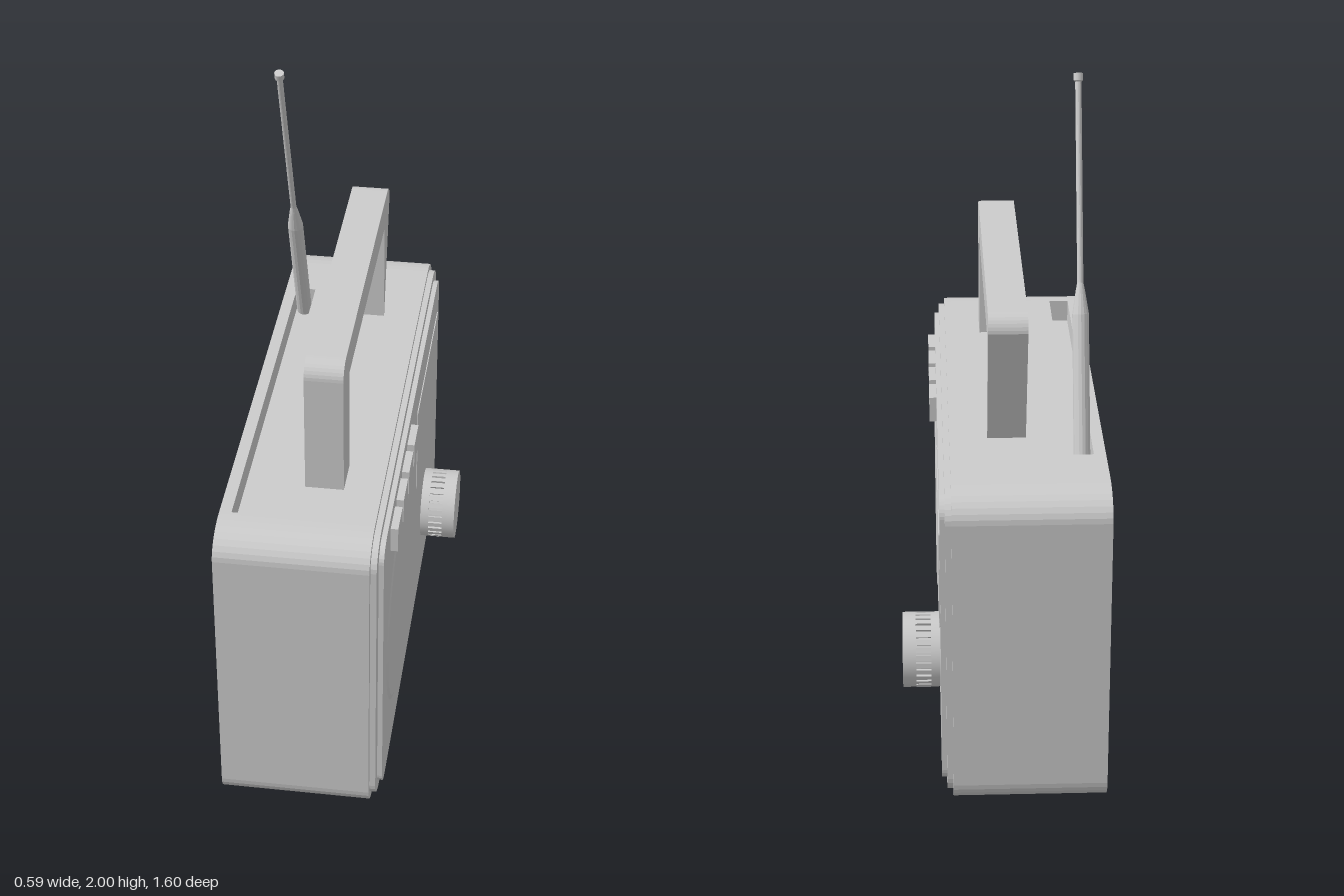
import * as THREE from 'three';

const mat = new THREE.MeshStandardMaterial({ color: 0xcccccc, flatShading: true });
const smooth = new THREE.MeshStandardMaterial({ color: 0xcccccc });

export function createModel() {
  const group = new THREE.Group();
  const add = (name, geo, material = mat) => {
    const mesh = new THREE.Mesh(geo, material);
    mesh.name = name;
    group.add(mesh);
    return mesh;
  };

  // Profiles are drawn as (u, y) with u = -z, then extruded along x.
  const slab = (shape, x0, x1, curveSegments = 4) => {
    const geo = new THREE.ExtrudeGeometry(shape, { depth: x1 - x0, bevelEnabled: false, curveSegments });
    return geo.rotateY(Math.PI / 2).translate(x0, 0, 0);
  };

  // Rectangle with elliptical corners; an optional notch is cut in its top edge.
  const rounded = (u0, u1, y0, y1, ru, ry, notch) => {
    const s = new THREE.Shape();
    const P = Math.PI;
    s.absellipse(u0 + ru, y0 + ry, ru, ry, P, 1.5 * P);
    s.absellipse(u1 - ru, y0 + ry, ru, ry, 1.5 * P, 2 * P);
    s.absellipse(u1 - ru, y1 - ry, ru, ry, 0, 0.5 * P);
    if (notch) {
      s.lineTo(notch.u1, y1);
      s.lineTo(notch.u1, notch.y);
      s.lineTo(notch.u0, notch.y);
      s.lineTo(notch.u0, y1);
    }
    s.absellipse(u0 + ru, y1 - ry, ru, ry, 0.5 * P, P);
    s.closePath();
    return s;
  };

  // Case in three slices, the middle one holding the antenna slot
  const slot = { u0: -0.67, u1: 0.52, y: 0.93 };
  add('caseBack', slab(rounded(-0.8, 0.8, 0, 1, 0.12, 0.08), -0.295, -0.26));
  add('caseSlot', slab(rounded(-0.8, 0.8, 0, 1, 0.12, 0.08, slot), -0.26, -0.2));
  add('caseFront', slab(rounded(-0.8, 0.8, 0, 1, 0.12, 0.08), -0.2, 0.15));

  // Stepped front panel
  add('frontRim', slab(rounded(-0.78, 0.78, 0.015, 0.985, 0.11, 0.075), 0.15, 0.168));
  add('frontPanel', slab(rounded(-0.737, 0.737, 0.042, 0.958, 0.07, 0.05), 0.168, 0.183));

  // Faintly raised display and speaker disc
  add('display', slab(rounded(-0 + 0.1, 0.69, 0.54, 0.84, 0.005, 0.005), 0.18, 0.186));
  add('speaker', new THREE.CylinderGeometry(0.3, 0.322, 0.006, 48)
    .rotateZ(-Math.PI / 2).translate(0.184, 0.465, 0.34));

  // Button row
  for (let i = 0; i < 4; i++) {
    add('button' + (i + 1), new THREE.BoxGeometry(0.03, 0.08, 0.105)
      .translate(0.19, 0.88, 0.532 - i * 0.136));
  }

  // Tuning knob with a notched band
  const knobY = 0.285, knobZ = -0.37, R = 0.113;
  const knobDisc = (name, x0, x1) => add(name,
    new THREE.CylinderGeometry(R, R, x1 - x0, 40).rotateZ(-Math.PI / 2)
      .translate((x0 + x1) / 2, knobY, knobZ), smooth);
  knobDisc('knobBase', 0.18, 0.21);
  knobDisc('knobCap', 0.255, 0.295);
  const gear = new THREE.Shape();
  const teeth = 30;
  for (let i = 0; i < teeth; i++) {
    [[0, R], [0.65, R], [0.65, R - 0.008], [1, R - 0.008]].forEach(([f, r], k) => {
      const a = (i + f) / teeth * Math.PI * 2;
      const p = [Math.cos(a) * r, Math.sin(a) * r];
      if (i + k === 0) gear.moveTo(...p); else gear.lineTo(...p);
    });
  }
  add('knobGrip', slab(gear, 0.21, 0.255).translate(0, knobY, knobZ));

  // Carrying handle
  const h = new THREE.Shape();
  h.moveTo(0.515, 0.98);
  h.absellipse(0.46, 1.37, 0.055, 0.05, 0, Math.PI / 2);
  h.absellipse(-0.47, 1.37, 0.055, 0.05, Math.PI / 2, Math.PI);
  h.lineTo(-0.525, 0.98);
  h.lineTo(-0.405, 0.98);
  h.lineTo(-0.405, 1.325);
  h.lineTo(0.395, 1.325);
  h.lineTo(0.395, 0.98);
  h.closePath();
  add('handle', slab(h, -0.072, 0.04));

  // Telescopic antenna leaning out of the slot
  const foot = new THREE.Vector3(-0.23, 0.95, -0.478);
  const tip = new THREE.Vector3(-0.23, 1.996, -0.092);
  const L = foot.distanceTo(tip);
  const profile = [[0, 0], [0.024, 0], [0.024, 0.43], [0.013, 0.5], [0.009, 0.52],
    [0.009, L - 0.025], [0.014, L - 0.02], [0.014, L], [0, L]].map(p => new THREE.Vector2(...p));
  const antenna = add('antenna', new THREE.LatheGeometry(profile, 16));
  antenna.position.copy(foot);
  antenna.quaternion.setFromUnitVectors(new THREE.Vector3(0, 1, 0), tip.sub(foot).normalize());

  return group;
}
